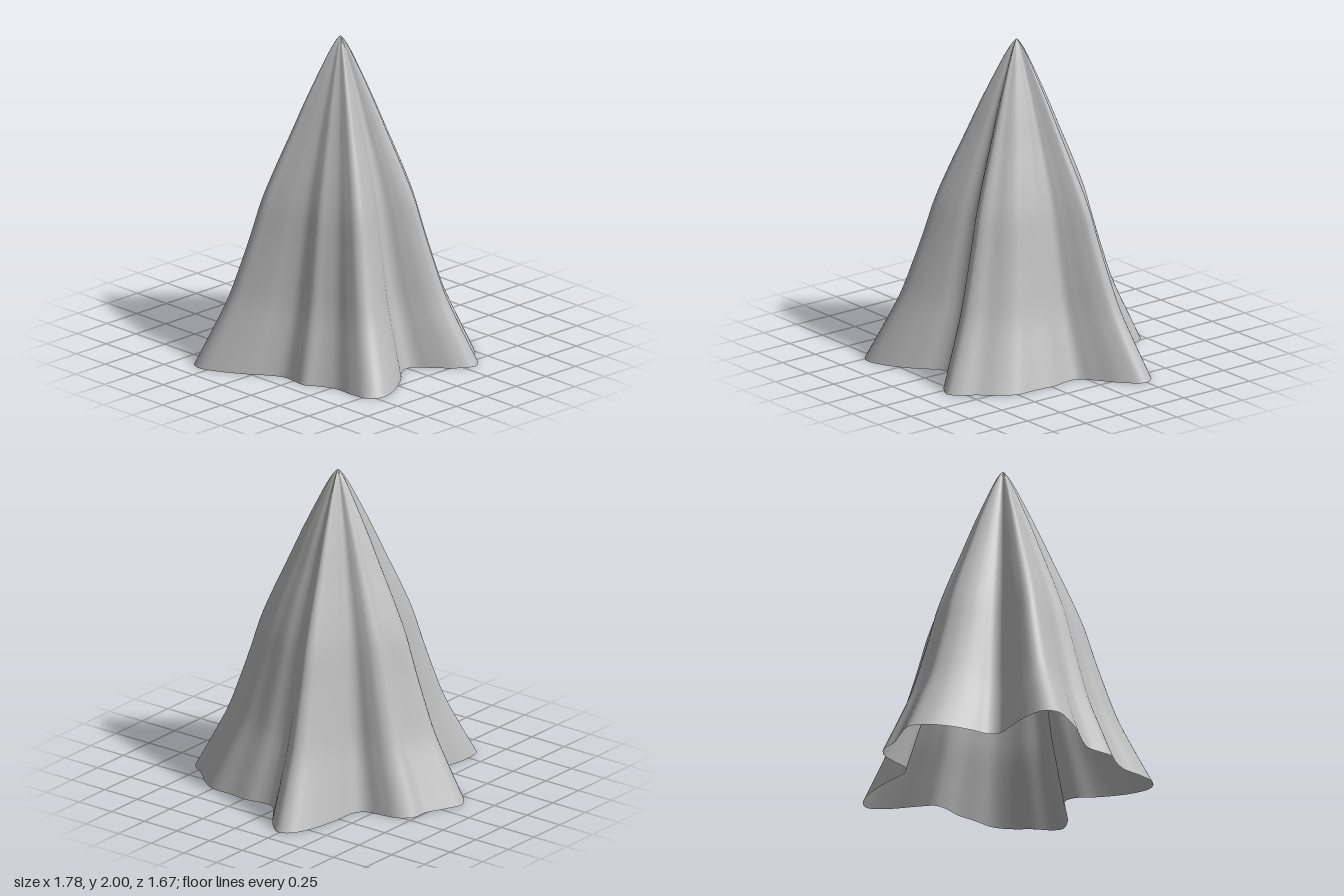
import * as THREE from 'three';

// Hem outline on the ground, as x, z pairs running clockwise seen from above
const HEM = [
  -0.14, -0.84, -0.02, -0.80, 0.10, -0.745, 0.195, -0.74, 0.265, -0.675,
  0.29, -0.575, 0.31, -0.46, 0.37, -0.41, 0.53, -0.40, 0.72, -0.37,
  0.855, -0.31, 0.89, -0.24, 0.815, -0.14, 0.67, -0.03, 0.59, 0.04,
  0.58, 0.12, 0.60, 0.225, 0.59, 0.36, 0.585, 0.50, 0.53, 0.60,
  0.44, 0.70, 0.375, 0.795, 0.32, 0.83, 0.22, 0.78, 0.11, 0.665,
  0.05, 0.595, -0.005, 0.57, -0.07, 0.595, -0.165, 0.685, -0.33, 0.795,
  -0.465, 0.83, -0.54, 0.78, -0.56, 0.67, -0.56, 0.525, -0.60, 0.425,
  -0.65, 0.345, -0.645, 0.265, -0.64, 0.165, -0.69, 0.07, -0.77, -0.04,
  -0.85, -0.18, -0.895, -0.31, -0.86, -0.385, -0.74, -0.41, -0.57, -0.39,
  -0.43, -0.37, -0.38, -0.415, -0.355, -0.525, -0.31, -0.655, -0.235, -0.775,
];

// Taper: [height, scale on the fold tips, scale in the valleys]
const TAPER = [
  [0, 1, 1], [0.2, 0.88, 0.9], [0.4, 0.768, 0.8], [0.6, 0.685, 0.73],
  [0.8, 0.61, 0.665], [1, 0.54, 0.595], [1.2, 0.447, 0.5], [1.4, 0.345, 0.39],
  [1.6, 0.245, 0.28], [1.8, 0.137, 0.155], [1.9, 0.08, 0.09], [1.96, 0.04, 0.044],
  [1.99, 0.013, 0.014],
];

const APEX = new THREE.Vector3(-0.03, 2, 0.025);

function drapedCloth(around, rows) {
  const points = [];
  for (let i = 0; i < HEM.length; i += 2) points.push(new THREE.Vector3(HEM[i], 0, HEM[i + 1]));
  const hem = new THREE.CatmullRomCurve3(points, true).getSpacedPoints(around).slice(0, around);
  const taper = new THREE.CatmullRomCurve3(TAPER.map(([y, tip, valley]) => new THREE.Vector3(tip, y, valley)));

  const positions = [];
  const indices = [];
  for (let i = 0; i <= rows; i++) {
    const { x: tip, y, z: valley } = taper.getPoint(i / rows);
    for (const p of hem) {
      const dx = p.x - APEX.x;
      const dz = p.z - APEX.z;
      const fold = THREE.MathUtils.smoothstep(Math.hypot(dx, dz), 0.5, 0.88);
      const s = THREE.MathUtils.lerp(valley, tip, fold);
      positions.push(APEX.x + dx * s, y, APEX.z + dz * s);
    }
  }
  positions.push(APEX.x, APEX.y, APEX.z);
  const top = (rows + 1) * around;

  for (let i = 0; i <= rows; i++) {
    for (let j = 0; j < around; j++) {
      const a = i * around + j;
      const b = i * around + (j + 1) % around;
      if (i === rows) indices.push(a, top, b);
      else indices.push(a, a + around, b, b, a + around, b + around);
    }
  }

  const geometry = new THREE.BufferGeometry();
  geometry.setAttribute('position', new THREE.Float32BufferAttribute(positions, 3));
  geometry.setIndex(indices);
  geometry.computeVertexNormals();
  return geometry;
}

export function createModel() {
  const group = new THREE.Group();
  group.name = 'drapedCone';

  const grey = new THREE.MeshStandardMaterial({ color: 0xbcbcbc, side: THREE.DoubleSide });
  grey.name = 'clothGrey';

  // Open-bottomed sheet of folded cloth hanging from a point
  const cloth = new THREE.Mesh(drapedCloth(240, 60), grey);
  cloth.name = 'cloth';
  group.add(cloth);
  return group;
}
